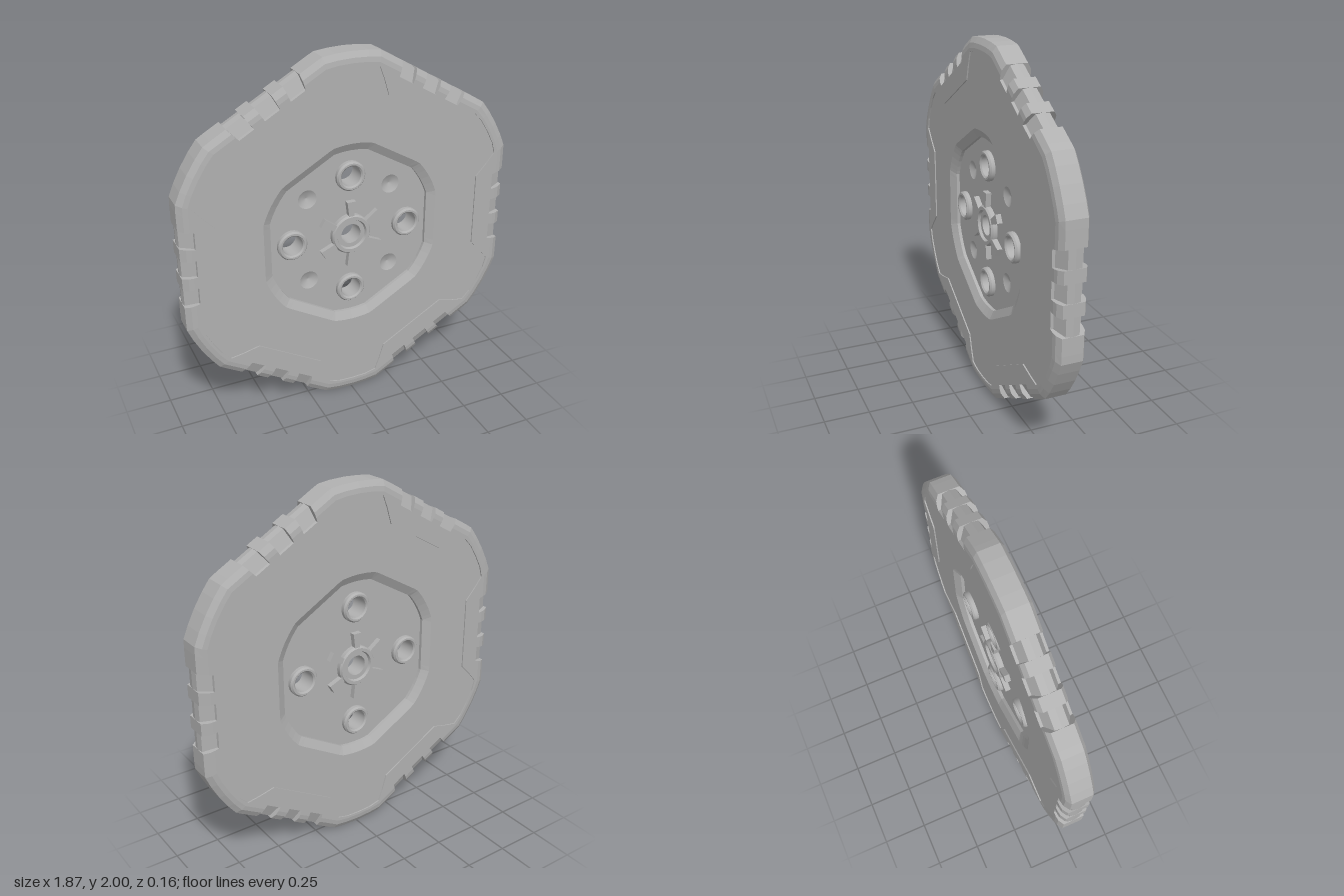
import * as THREE from 'three';
import { toCreasedNormals } from 'three/addons/utils/BufferGeometryUtils.js';

const RAD = Math.PI / 180;
const FLOOR = 0.03;

// Radius of a hexagon with its corners cut by a circle, phi measured from the flat's middle
const hexRadius = (circle, apothem, phi) => Math.min(circle, apothem / Math.cos(phi * RAD));

// Stations of one 60 degree sector: [phi, notched]. Paired stations make the notch walls.
function sectorStations() {
  const list = [-30, -25, -21, -18.6, -15.4].map((p) => [p, false]);
  for (const [a, b] of [[-13.2, -7.3], [-3.06, 3.06], [7.3, 13.2]]) {
    list.push([a, false], [a, true], [b, true], [b, false]);
  }
  return list.concat([15.4, 18.6, 21, 25].map((p) => [p, false]));
}

// Radius of the sunken star-shaped panel
function panelRadius(phi) {
  const p = Math.abs(phi);
  if (p > 24) return 0.93;
  if (p > 20) return 0.922;
  if (p > 18) return 0.86;
  return 0.752 / Math.cos(p * RAD);
}

// Profile from the middle of the tread to the centre recess: [radius, z]
function profile(phi, notched) {
  const rim = (inset) => hexRadius(1 - inset, 0.935 - inset, phi);
  const panel = panelRadius(phi);
  return [
    [rim(0), 0],
    [rim(notched ? 0.006 : 0), notched ? 0.036 : 0.057],
    [rim(notched ? 0.075 : 0.03), notched ? 0.066 : 0.076],
    [rim(notched ? 0.078 : 0.055), 0.08],
    [panel, 0.08],
    [panel, 0.073],
    [hexRadius(0.525, 0.5, phi), 0.073],
    [hexRadius(0.48, 0.455, phi), 0.048],
    [hexRadius(0.48, 0.455, phi), FLOOR],
  ];
}

// Half of the wheel body, lofted around the z axis with flat faces
function halfBodyGeometry() {
  const sections = [];
  for (let k = 0; k < 6; k++) {
    for (const [phi, notched] of sectorStations()) {
      const a = (k * 60 + phi) * RAD;
      sections.push(profile(phi, notched).map(([r, z]) =>
        new THREE.Vector3(r * Math.cos(a), r * Math.sin(a), z)));
    }
  }
  const pos = [];
  const tri = (a, b, c) => {
    const n = b.clone().sub(a).cross(c.clone().sub(a));
    if (n.length() > 1e-9) for (const v of [a, b, c]) pos.push(v.x, v.y, v.z);
  };
  sections.forEach((s, i) => {
    const t = sections[(i + 1) % sections.length];
    for (let j = 0; j < s.length - 1; j++) {
      tri(s[j], t[j], t[j + 1]);
      tri(s[j], t[j + 1], s[j + 1]);
    }
  });
  const g = new THREE.BufferGeometry();
  g.setAttribute('position', new THREE.Float32BufferAttribute(pos, 3));
  g.computeVertexNormals();
  return g;
}

// Recess floor with openings given as [x, y, radius]
function floorGeometry(openings) {
  const pts = [];
  for (let k = 0; k < 6; k++) {
    for (const [phi] of sectorStations().filter((s) => !s[1])) {
      const a = (k * 60 + phi) * RAD;
      const r = hexRadius(0.48, 0.455, phi);
      pts.push(new THREE.Vector2(r * Math.cos(a), r * Math.sin(a)));
    }
  }
  const shape = new THREE.Shape(pts);
  for (const [x, y, r] of openings) {
    shape.holes.push(new THREE.Path().absarc(x, y, r, 0, Math.PI * 2, true));
  }
  return new THREE.ShapeGeometry(shape, 16);
}

// Lathe about the z axis
function turned(points, creased = true) {
  const g = new THREE.LatheGeometry(points.map(([r, h]) => new THREE.Vector2(r, h)), 32);
  g.rotateX(Math.PI / 2);
  return creased ? toCreasedNormals(g, 0.5) : g;
}

// Closed ring profile, the same on both faces
function mirroredRing(upper) {
  const lower = upper.map(([r, h]) => [r, -h]).reverse();
  return [...lower, ...upper, lower[0]];
}

export function createModel() {
  const model = new THREE.Group();
  model.name = 'wheel';
  const grey = new THREE.MeshStandardMaterial({ color: 0xb0b0b0 });
  grey.name = 'grey';

  const wheel = new THREE.Group();
  wheel.name = 'wheelBody';
  wheel.position.y = 1;
  model.add(wheel);
  const add = (name, geometry, x = 0, y = 0, z = 0) => {
    const m = new THREE.Mesh(geometry, grey);
    m.name = name;
    m.position.set(x, y, z);
    wheel.add(m);
    return m;
  };

  // Tyre halves with tread notches and sunken panels
  const half = halfBodyGeometry();
  add('frontTyre', half);
  add('backTyre', half).rotation.y = Math.PI;

  // Recess floors; only the front has dimples
  const bolts = [[0.335, 0], [0, 0.335], [-0.335, 0], [0, -0.335]];
  const dimples = [[0.24, 0.24], [-0.24, 0.24], [-0.24, -0.24], [0.24, -0.24]];
  const openings = [[0, 0, 0.09], ...bolts.map(([x, y]) => [x, y, 0.07])];
  add('frontFloor', floorGeometry([...openings, ...dimples.map(([x, y]) => [x, y, 0.052])]), 0, 0, FLOOR);
  add('backFloor', floorGeometry(openings), 0, 0, -FLOOR).rotation.y = Math.PI;

  const dimple = turned([[0.052, 0], [0.03, -0.012], [0, -0.02]], false);
  dimples.forEach(([x, y]) => add('dimple', dimple, x, y, FLOOR));

  // Bolt bushings, open right through
  const bushing = turned(mirroredRing([[0.082, 0.05], [0.074, 0.06], [0.064, 0.06], [0.056, 0.052]]));
  bolts.forEach(([x, y]) => add('boltBushing', bushing, x, y));

  // Stepped hub with a centre bore
  add('hub', turned(mirroredRing([[0.112, 0.054], [0.104, 0.065], [0.086, 0.065],
    [0.08, 0.05], [0.056, 0.05]])));

  // Flared ribs around the hub
  const ribShape = new THREE.Shape([[-0.014, 0.1], [0.014, 0.1], [0.025, 0.19], [-0.025, 0.19]]
    .map(([x, y]) => new THREE.Vector2(x, y)));
  const rib = new THREE.ExtrudeGeometry(ribShape, { depth: 0.12, bevelEnabled: false });
  rib.translate(0, 0, -0.06);
  for (let k = 0; k < 6; k++) add('hubRib', rib).rotation.z = k * 60 * RAD;

  return model;
}
